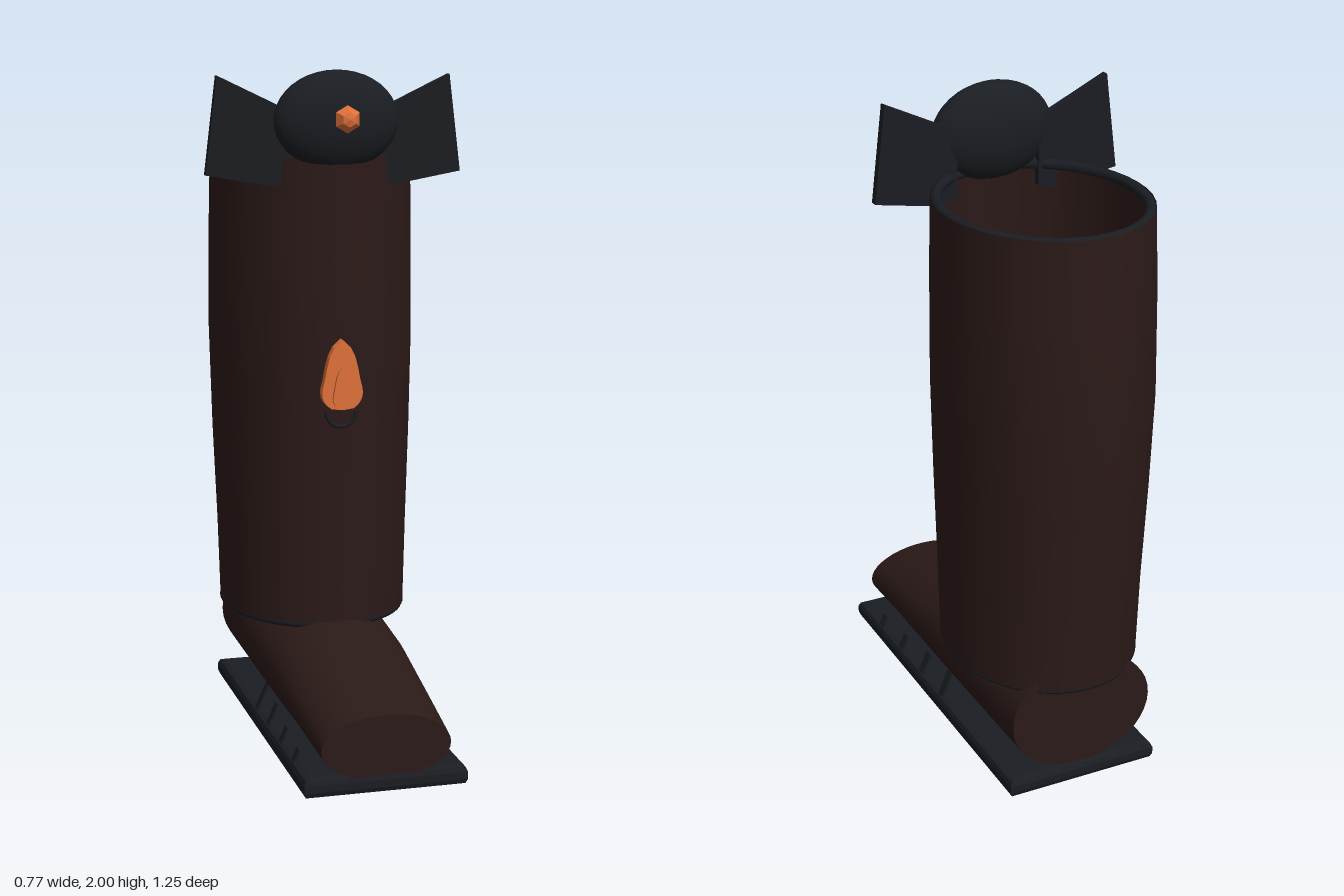
import * as THREE from 'three';

const mat = (color, extra = {}) => new THREE.MeshStandardMaterial({ color, ...extra });
const SIDES = 40;

// Skin a list of rings; each ring is a function of the angle returning [x, y, z].
function loft(rings) {
  const pos = [], idx = [];
  rings.forEach((ring, r) => {
    for (let i = 0; i < SIDES; i++) {
      pos.push(...ring((i / SIDES) * Math.PI * 2));
      if (r === rings.length - 1) continue;
      const a = r * SIDES + i, b = r * SIDES + (i + 1) % SIDES;
      idx.push(a, a + SIDES, b, b, a + SIDES, b + SIDES);
    }
  });
  const g = new THREE.BufferGeometry();
  g.setAttribute('position', new THREE.Float32BufferAttribute(pos, 3));
  g.setIndex(idx);
  g.computeVertexNormals();
  return g;
}

export function createModel() {
  const model = new THREE.Group();
  const leather = mat(0x2b1a18, { side: THREE.DoubleSide });
  const dark = mat(0x1a1d22);
  const orange = mat(0xe0713a, { flatShading: true });
  const add = (name, geometry, material, x = 0, y = 0, z = 0) => {
    const mesh = new THREE.Mesh(geometry, material);
    mesh.name = name;
    mesh.position.set(x, y, z);
    model.add(mesh);
    return mesh;
  };

  // Leg: open oval tube; sections are [y, half width, front z, back z]
  const legRings = [
    [0.34, 0.285, 0.105, -0.58], [0.6, 0.292, 0.108, -0.59], [0.9, 0.303, 0.112, -0.61],
    [1.2, 0.31, 0.118, -0.627], [1.5, 0.308, 0.112, -0.618], [1.75, 0.303, 0.105, -0.603],
  ].map(([y, rx, f, b]) => (a) => [rx * Math.cos(a), y, (f + b) / 2 + ((f - b) / 2) * Math.sin(a)]);
  add('leg', loft(legRings), leather);

  // Rolled trims around the top and the ankle
  const trim = (name, y, rx, rz, zc, tube) => {
    const pts = Array.from({ length: SIDES }, (_, i) => {
      const a = (i / SIDES) * Math.PI * 2;
      return new THREE.Vector3(rx * Math.cos(a), y, zc + rz * Math.sin(a));
    });
    const path = new THREE.CatmullRomCurve3(pts, true);
    add(name, new THREE.TubeGeometry(path, 64, tube, 8, true), dark);
  };
  trim('topRim', 1.74, 0.287, 0.337, -0.25, 0.016);
  trim('ankleTrim', 0.345, 0.272, 0.33, -0.237, 0.014);

  // Foot: oval sections from toe to heel, [z, half width, centre y, half height]
  const sections = [
    [0.62, 0, 0.135, 0], [0.62, 0.19, 0.135, 0.095], [0.62, 0.19, 0.135, 0.095],
    [0.36, 0.203, 0.17, 0.12], [0.11, 0.215, 0.2, 0.155], [-0.2, 0.222, 0.22, 0.17],
    [-0.53, 0.226, 0.235, 0.18], [-0.53, 0.226, 0.235, 0.18], [-0.53, 0, 0.235, 0],
  ];
  add('foot', loft(sections.map(([z, rx, yc, ry]) =>
    (a) => [rx * Math.cos(a), yc + ry * Math.sin(a), z])), leather);

  // Sole with a bevelled edge
  const soleShape = new THREE.Shape([[-0.22, -0.605], [0.22, -0.605], [0.22, 0.525], [-0.22, 0.525]]
    .map(([x, y]) => new THREE.Vector2(x, y)));
  const sole = new THREE.ExtrudeGeometry(soleShape, {
    depth: 0.022, bevelThickness: 0.019, bevelSize: 0.02, bevelSegments: 2,
  });
  sole.rotateX(-Math.PI / 2);
  add('sole', sole, dark, 0, 0.019, 0);

  // Small tabs leaning from the sole against the foot
  for (const side of [-1, 1]) {
    [[0.45, 0.09], [0.29, 0.1], [0.13, 0.12], [-0.02, 0.14]].forEach(([z, top]) => {
      const h = top - 0.045;
      const tab = add('soleTab', new THREE.BoxGeometry(0.006, h * 1.1, 0.03), dark,
        side * (0.232 - h * 0.22), 0.045 + h / 2, z);
      tab.rotation.z = side * 0.42;
    });
  }

  // Bow: rounded knot with a flat wing on either side
  const knot = add('bowKnot', new THREE.SphereGeometry(1, 28, 20), dark, 0, 1.855, 0.07);
  knot.scale.set(0.188, 0.145, 0.073);
  for (const side of [-1, 1]) {
    const pts = [[0.35, 1.985], [0.13, 1.88], [0.13, 1.68], [0.19, 1.665], [0.385, 1.7]]
      .map(([x, y]) => new THREE.Vector2(side * x, y));
    add('bowWing', new THREE.ExtrudeGeometry(new THREE.Shape(pts),
      { depth: 0.024, bevelEnabled: false }), dark, 0, 0, 0.028);
  }

  // Six-sided gem floating before the knot
  const gem = new THREE.LatheGeometry([[0, -0.03], [0.04, 0], [0.022, 0.026], [0, 0.032]]
    .map(([x, y]) => new THREE.Vector2(x, y)), 6);
  gem.rotateX(Math.PI / 2);
  add('gem', gem, orange, 0, 1.863, 0.195);

  // Flame badge: two layered drops
  const drop = (w, h) => {
    const s = new THREE.Shape();
    s.moveTo(0, 0);
    s.lineTo(w * 0.55, h * 0.02);
    s.quadraticCurveTo(w * 1.1, h * 0.12, w, h * 0.3);
    s.bezierCurveTo(w * 0.75, h * 0.5, w * 0.85, h * 0.85, 0, h);
    s.bezierCurveTo(-w * 0.85, h * 0.85, -w * 0.75, h * 0.5, -w, h * 0.3);
    s.quadraticCurveTo(-w * 1.1, h * 0.12, -w * 0.55, h * 0.02);
    return s;
  };
  const layer = (name, w, h, y, z, depth) => add(name, new THREE.ExtrudeGeometry(drop(w, h),
    { depth, bevelEnabled: false, curveSegments: 5 }), orange, 0, y, z);
  layer('flame', 0.061, 0.21, 1.01, 0.116, 0.028);
  layer('flameCore', 0.03, 0.125, 1.015, 0.14, 0.014);

  // Half ring cradling the flame
  const cradle = add('flameCradle', new THREE.TorusGeometry(0.045, 0.006, 8, 20, Math.PI), dark, 0, 1.003, 0.128);
  cradle.rotation.z = Math.PI;

  return model;
}
